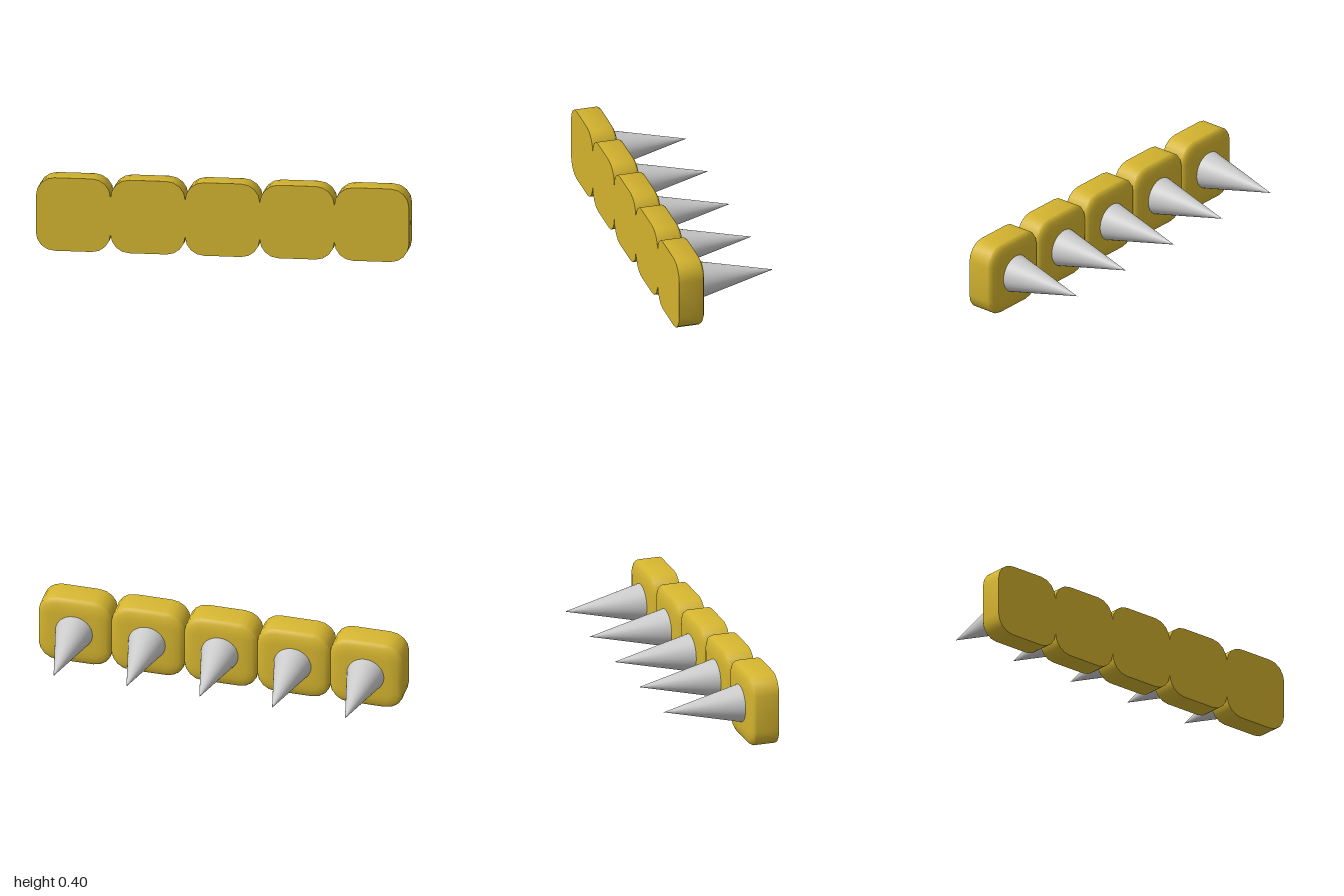
import * as THREE from 'three';
import { toCreasedNormals } from 'three/addons/utils/BufferGeometryUtils.js';

const COUNT = 5, PITCH = 0.4, CORNER_STEPS = 4, BEVEL_STEPS = 4;
const FRONT = 0.29, SHOULDER = 0.165, BACK = 0.136, TIP = -0.29;

// Rounded square outline, counter-clockwise, shrunk by an inset
function outline(inset) {
  const centre = 0.1, radius = 0.1 - inset, points = [];
  for (let q = 0; q < 4; q++) {
    const cx = q === 0 || q === 3 ? centre : -centre;
    const cy = q < 2 ? centre : -centre;
    for (let k = 0; k <= CORNER_STEPS; k++) {
      const a = (q + k / CORNER_STEPS) * Math.PI / 2;
      points.push([cx + radius * Math.cos(a), cy + radius * Math.sin(a)]);
    }
  }
  return points;
}

// Flat front, straight sides and a softly domed edge at the back
function blockGeometry() {
  const sections = [[0, FRONT]];
  for (let i = 0; i <= BEVEL_STEPS; i++) {
    const a = i / BEVEL_STEPS * Math.PI / 2;
    sections.push([0.09 * (1 - Math.cos(a)), SHOULDER + (BACK - SHOULDER) * Math.sin(a)]);
  }
  const positions = [], index = [];
  for (const [inset, z] of sections) {
    for (const [x, y] of outline(inset)) positions.push(x, y, z);
  }
  const n = 4 * (CORNER_STEPS + 1), last = (sections.length - 1) * n;
  const frontCentre = sections.length * n, backCentre = frontCentre + 1;
  positions.push(0, 0, FRONT, 0, 0, BACK);
  for (let j = 0; j < n; j++) {
    const k = (j + 1) % n;
    for (let r = 0; r < last; r += n) {
      index.push(r + j, r + n + j, r + k, r + k, r + n + j, r + n + k);
    }
    index.push(frontCentre, j, k, backCentre, last + k, last + j);
  }
  const geometry = new THREE.BufferGeometry();
  geometry.setAttribute('position', new THREE.Float32BufferAttribute(positions, 3));
  geometry.setIndex(index);
  return toCreasedNormals(geometry, Math.PI / 3.5);
}

export function createModel() {
  const model = new THREE.Group();
  model.name = 'spikedStrip';
  const gold = new THREE.MeshStandardMaterial({ color: 0xd4b42f });
  const grey = new THREE.MeshStandardMaterial({ color: 0xcccccc });
  const blockShape = blockGeometry();

  // Cone lying along -z, its base resting on the block
  const spikeShape = new THREE.ConeGeometry(0.102, BACK - TIP, 32);
  spikeShape.rotateX(-Math.PI / 2);
  spikeShape.translate(0, 0.002, (BACK + TIP) / 2);

  for (let i = 0; i < COUNT; i++) {
    const stud = new THREE.Group();
    stud.name = `stud${i + 1}`;
    stud.position.set((i - (COUNT - 1) / 2) * PITCH, 0.2, 0);
    const block = new THREE.Mesh(blockShape, gold);
    block.name = 'block';
    const spike = new THREE.Mesh(spikeShape, grey);
    spike.name = 'spike';
    stud.add(block, spike);
    model.add(stud);
  }
  return model;
}
